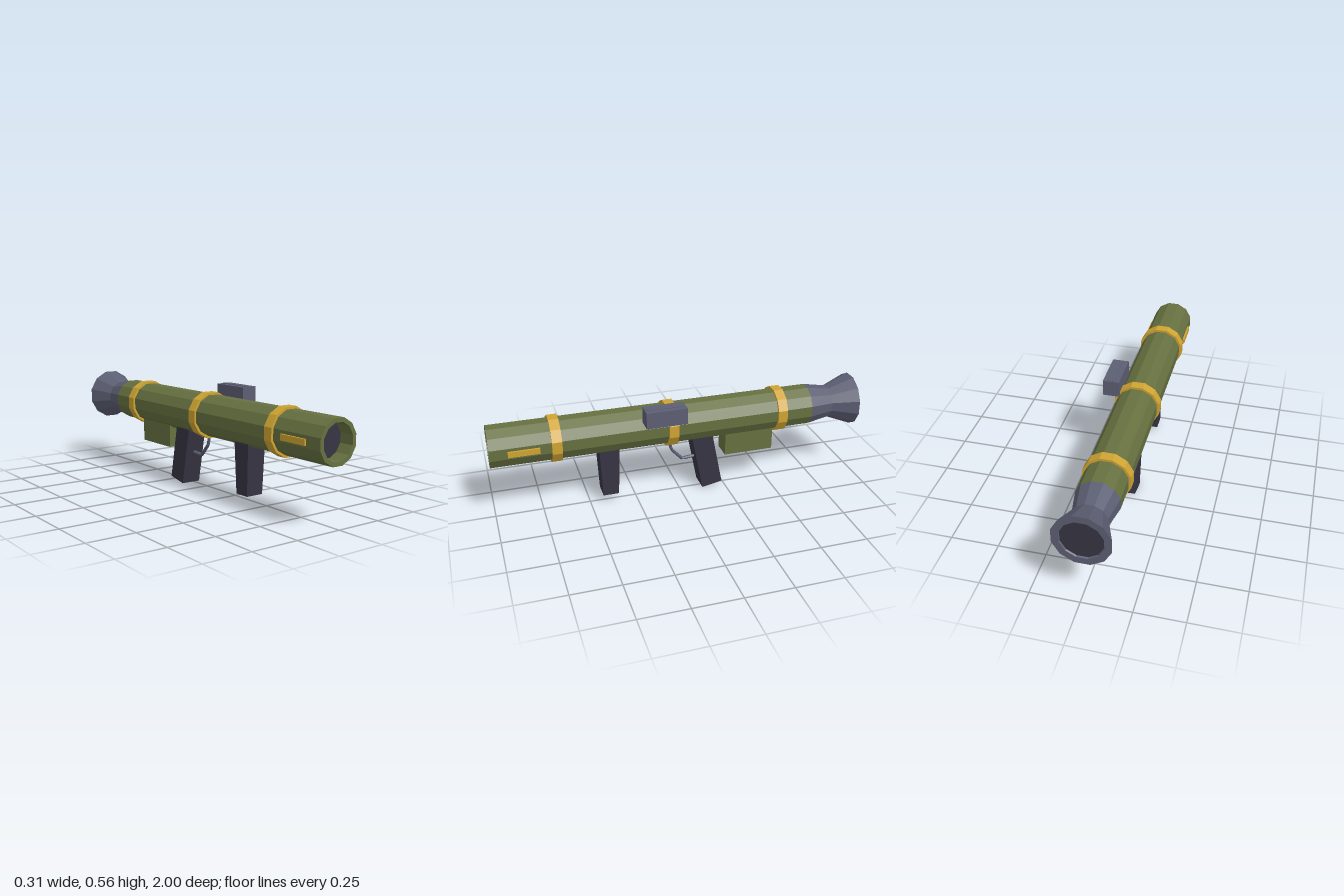
import * as THREE from 'three';

const mat = (name, color) => {
  const m = new THREE.MeshStandardMaterial({ color, flatShading: true });
  m.name = name;
  return m;
};

export function createModel() {
  const green = mat('olive green', 0x667040);
  const gold = mat('gold', 0xcfa432);
  const grey = mat('blue grey', 0x5c5e73);
  const dark = mat('dark grip', 0x363443);

  const group = new THREE.Group();
  const AX = -0.02, AY = 0.402; // barrel axis
  const K = 1 / Math.cos(Math.PI / 12); // flat radius to corner radius

  const add = (name, geo, material, x = 0, y = 0, z = 0) => {
    const m = new THREE.Mesh(geo, material);
    m.name = name;
    m.position.set(x, y, z);
    group.add(m);
    return m;
  };

  // Twelve-sided ring or disc along z; profile is [flat radius, z]
  const turned = (name, profile, material) => {
    const pts = profile.map(([r, z]) => new THREE.Vector2(r * K, z));
    const geo = new THREE.LatheGeometry(pts, 12, Math.PI / 12).rotateX(Math.PI / 2);
    return add(name, geo, material, AX, AY, 0);
  };

  const box = (name, w, h, d, material, x, y, z) =>
    add(name, new THREE.BoxGeometry(w, h, d), material, x, y, z);

  // Barrel with an open muzzle
  turned('barrel', [[0.108, -0.73], [0.108, 1], [0.088, 1], [0.088, 0.9]], green);
  turned('boreRing', [[0.088, 0.905], [0.07, 0.905]], gold);
  turned('borePlug', [[0.0855, 0.905], [0.0855, 0.925], [0, 0.925]], dark);

  // Rear nozzle
  turned('nozzle', [[0.1, -0.99], [0.104, -1], [0.139, -1], [0.085, -0.86], [0.108, -0.73]], grey);
  turned('nozzlePlug', [[0, -0.992], [0.102, -0.992]], dark);

  // Clamp bands
  for (const z of [0.665, 0.055, -0.555]) {
    const a = z - 0.026, b = z + 0.026;
    turned('band', [[0.106, a], [0.12, a], [0.12, b], [0.106, b]], gold);
  }

  // Side marks near the muzzle
  for (const s of [-1, 1]) {
    box('sideMark', 0.012, 0.03, 0.16, gold, AX + s * 0.1125, 0.4, 0.83);
  }

  // Front grip, narrower at the foot
  const frontGeo = new THREE.BoxGeometry(0.108, 0.275, 0.108);
  const p = frontGeo.attributes.position;
  for (let i = 0; i < p.count; i++) {
    if (p.getY(i) < 0) {
      p.setX(i, p.getX(i) * 0.9);
      p.setZ(i, p.getZ(i) * 0.78);
    }
  }
  add('frontGrip', frontGeo, dark, AX, 0.1795, 0.389);

  // Raked rear grip
  const rear = box('rearGrip', 0.11, 0.31, 0.113, dark, AX, 0.164, -0.149);
  rear.rotation.x = 0.195;

  // Trigger guard
  const path = new THREE.CurvePath();
  const g = [[0.31, 0.055], [0.237, 0.04], [0.172, -0.02], [0.179, -0.1]]
    .map(([y, z]) => new THREE.Vector3(AX, y, z));
  for (let i = 0; i < g.length - 1; i++) path.add(new THREE.LineCurve3(g[i], g[i + 1]));
  add('triggerGuard', new THREE.TubeGeometry(path, 12, 0.009, 6), grey);

  // Box under the barrel
  box('underBox', 0.105, 0.13, 0.273, green, AX, 0.249, -0.388);

  // Sight with a low rib on top
  box('sight', 0.086, 0.087, 0.216, grey, 0.113, 0.512, 0.11);
  box('sightRib', 0.03, 0.006, 0.2, grey, 0.113, 0.555, 0.108);

  return group;
}
